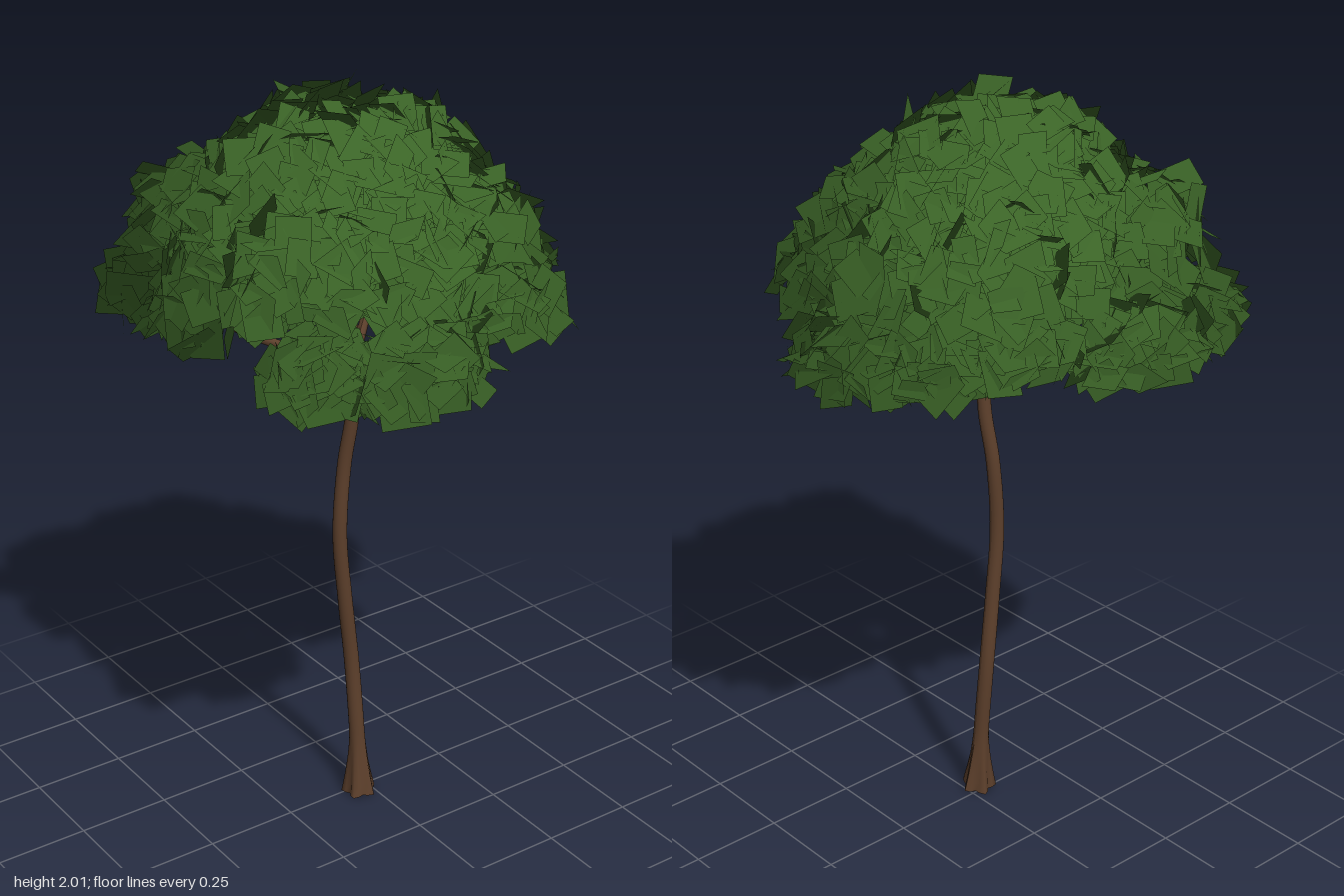
import * as THREE from 'three';
import { mergeGeometries } from 'three/addons/utils/BufferGeometryUtils.js';

const V = (a) => new THREE.Vector3(...a);

// Small seeded generator
function seeded(seed) {
  return () => {
    seed = (seed * 1664525 + 1013904223) % 4294967296;
    return seed / 4294967296;
  };
}

// Tube along a smooth path whose radius follows radiusAt(t, angle)
function taperedTube(points, radiusAt, steps, sides) {
  const curve = new THREE.CatmullRomCurve3(points.map(V));
  const geo = new THREE.TubeGeometry(curve, steps, 1, sides);
  const pos = geo.attributes.position;
  const p = new THREE.Vector3();
  for (let i = 0; i <= steps; i++) {
    const centre = curve.getPointAt(i / steps);
    for (let j = 0; j <= sides; j++) {
      const k = i * (sides + 1) + j;
      p.fromBufferAttribute(pos, k).sub(centre);
      p.multiplyScalar(radiusAt(i / steps, (j / sides) * Math.PI * 2)).add(centre);
      pos.setXYZ(k, p.x, p.y, p.z);
    }
  }
  geo.computeVertexNormals();
  return geo;
}

// Leaf cards scattered over the upper skin of a full-shouldered ellipsoid
const CROWN = new THREE.Vector3(-0.05, 1.47, 0);
function leafCards([x, y, z, rx, ry, rz, count], rand, keep) {
  const cards = [];
  const centre = new THREE.Vector3(x, y, z);
  const radii = new THREE.Vector3(rx, ry, rz);
  const up = new THREE.Vector3(0, 0, 1);
  for (let i = 0; i < count; i++) {
    // golden-angle spread from the top down to the rim
    const h = 1 - (i + 0.5) / count;
    const a = i * 2.39996 + rand() * 0.4;
    const s = Math.pow(1 - h * h, 0.4);
    const dir = new THREE.Vector3(Math.cos(a) * s, h, Math.sin(a) * s);
    const spot = dir.clone().multiply(radii).multiplyScalar(0.84 + rand() * 0.17).add(centre);
    const facing = dir.clone().divide(radii).normalize();
    const roll = rand() * Math.PI * 2;
    const tilt = [rand() - 0.5, rand() - 0.5];
    const size = 0.85 + rand() * 0.3;
    if (!keep(spot)) continue;
    const card = new THREE.PlaneGeometry(0.08 * size, 0.1 * size);
    card.rotateZ(roll).rotateX(tilt[0] * 1.8).rotateY(tilt[1] * 1.8);
    card.applyQuaternion(new THREE.Quaternion().setFromUnitVectors(up, facing));
    card.translate(spot.x, spot.y, spot.z);
    // shade all cards as one rounded crown
    const round = spot.clone().sub(CROWN).normalize();
    const n = card.attributes.normal;
    const m = new THREE.Vector3();
    for (let k = 0; k < n.count; k++) {
      m.fromBufferAttribute(n, k).lerp(round, 0.8).normalize();
      n.setXYZ(k, m.x, m.y, m.z);
    }
    cards.push(card);
  }
  return cards;
}

export function createModel() {
  const tree = new THREE.Group();
  tree.name = 'tree';
  const bark = new THREE.MeshStandardMaterial({ color: 0x5c3f2b });
  const leaf = new THREE.MeshStandardMaterial({ color: 0x3b6427, side: THREE.DoubleSide });
  const add = (name, geo, mat, parent = tree) => {
    const mesh = new THREE.Mesh(geo, mat);
    mesh.name = name;
    parent.add(mesh);
    return mesh;
  };

  // Trunk: gentle S-bend with a lobed root flare
  const trunkPath = [
    [-0.037, 0, 0.02], [-0.038, 0.18, 0.01], [-0.045, 0.4, -0.004], [-0.068, 0.6, 0],
    [-0.085, 0.8, 0.002], [-0.072, 1.0, 0.005], [-0.06, 1.15, 0.025], [-0.067, 1.31, 0.035],
  ];
  add('trunk', taperedTube(trunkPath, (t, a) => {
    const flare = Math.pow(Math.max(0, 1 - t / 0.14), 1.5);
    return 0.0215 - 0.004 * t + flare * (0.019 + 0.009 * Math.cos(a * 5));
  }, 48, 20), bark);
  const foot = add('trunkFoot', new THREE.CircleGeometry(0.038, 12).rotateX(Math.PI / 2), bark);
  foot.position.set(-0.037, 0.001, 0.02);

  // Branches: upper leader, a low spreading whorl and a steeper upper whorl
  const branches = new THREE.Group();
  branches.name = 'branches';
  tree.add(branches);
  const hub = [-0.067, 1.29, 0.035];
  const fork = [-0.05, 1.43, 0.02];
  const limb = (name, from, to, r, sag) => {
    const mid = from.map((v, i) => v + (to[i] - v) * 0.55 - (i === 1 ? sag : 0));
    add(name, taperedTube([from, mid, to], (t) => r * (1 - 0.6 * t), 10, 7), bark, branches);
    return mid;
  };
  limb('leader', hub, fork, 0.018, 0);
  const lowTips = [
    [0.4, 1.46, -0.04], [0.25, 1.47, -0.28], [-0.17, 1.45, -0.42], [-0.38, 1.44, -0.32],
    [-0.38, 1.45, 0.32], [-0.16, 1.44, 0.43], [0.17, 1.48, 0.34],
  ];
  lowTips.forEach((tip, i) => {
    const mid = limb('lowBranch', hub, tip, 0.016, 0.03);
    const turn = i % 2 ? 0.09 : -0.09;
    limb('twig', mid, [tip[0] * 0.8 + turn, 1.5, tip[2] * 0.8 - turn], 0.008, 0.01);
  });
  for (let i = 0; i < 5; i++) {
    const a = i * 1.2566 + 0.5;
    const tip = [-0.05 + Math.cos(a) * 0.24, 1.72, Math.sin(a) * 0.24];
    const mid = limb('upperBranch', fork, tip, 0.012, 0.03);
    limb('twig', mid, [-0.05 + Math.cos(a + 0.7) * 0.3, 1.66, Math.sin(a + 0.7) * 0.3], 0.007, 0);
  }

  // Foliage: hollow dome, broad shoulders merging into it, thin skirts on the low branches
  // Each row: centre x y z, radii x y z, number of cards
  const rand = seeded(11);
  const dome = [-0.06, 1.53, 0, 0.39, 0.43, 0.375, 800];
  const clumps = [
    // shoulders
    [-0.32, 1.57, -0.24, 0.19, 0.23, 0.18, 100],
    [-0.39, 1.51, -0.03, 0.14, 0.25, 0.17, 90],
    [-0.31, 1.57, 0.21, 0.19, 0.23, 0.17, 100],
    [0.14, 1.58, -0.23, 0.2, 0.23, 0.18, 100],
    [0.16, 1.57, 0.17, 0.2, 0.22, 0.18, 95],
    [0.23, 1.54, -0.05, 0.19, 0.2, 0.2, 80],
    // skirts
    [0.4, 1.42, -0.05, 0.15, 0.13, 0.18, 95],
    [0.3, 1.44, -0.25, 0.15, 0.1, 0.12, 65],
    [0.17, 1.47, -0.37, 0.13, 0.1, 0.1, 50],
    [-0.15, 1.41, -0.44, 0.18, 0.14, 0.11, 85],
    [-0.37, 1.41, -0.38, 0.14, 0.13, 0.11, 65],
    [-0.42, 1.42, -0.12, 0.11, 0.12, 0.12, 50],
    [-0.38, 1.42, 0.36, 0.13, 0.12, 0.11, 65],
    [-0.17, 1.4, 0.45, 0.18, 0.13, 0.11, 85],
    [0.14, 1.48, 0.38, 0.15, 0.1, 0.11, 60],
    [0.3, 1.5, 0.15, 0.13, 0.1, 0.12, 45],
  ];
  const outsideDome = (p) => {
    const q = [(p.x - dome[0]) / dome[3], (p.y - dome[1]) / dome[4], (p.z - dome[2]) / dome[5]];
    return Math.hypot(...q) > 0.85;
  };
  const cards = leafCards(dome, rand, () => true);
  clumps.forEach((c) => cards.push(...leafCards(c, rand, outsideDome)));
  add('foliage', mergeGeometries(cards), leaf);
  return tree;
}
